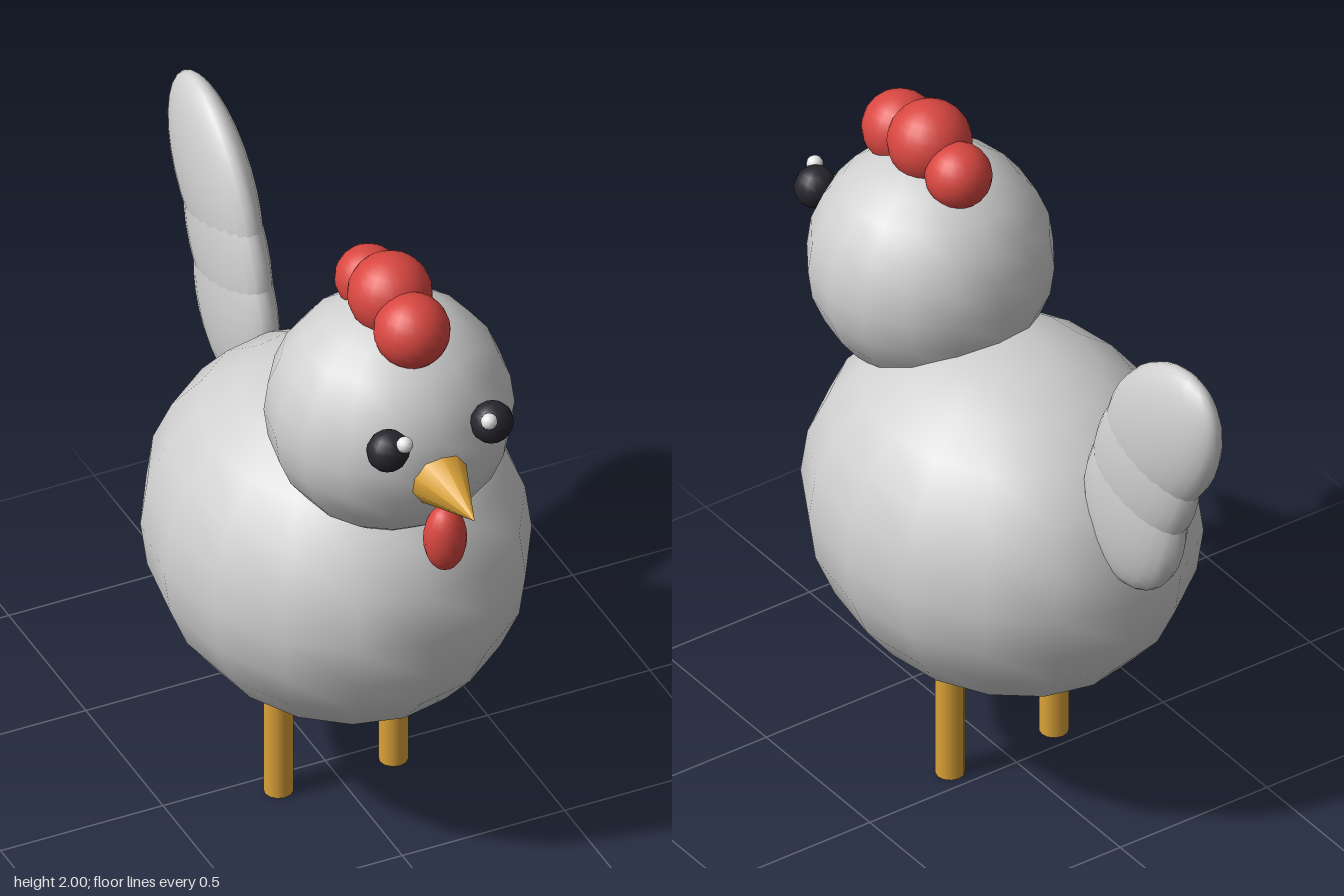
import * as THREE from 'three';

const mat = (name, color) => {
  const m = new THREE.MeshStandardMaterial({ color });
  m.name = name;
  return m;
};

export function createModel() {
  const feathers = mat('pale feathers', 0xd0d0d0);
  const red = mat('red', 0xd94741);
  const yellow = mat('yellow', 0xdca338);
  const black = mat('eye black', 0x26262e);
  const white = mat('glint white', 0xf2f2f2);

  const model = new THREE.Group();
  model.name = 'hen';

  const add = (name, geometry, material, position) => {
    const mesh = new THREE.Mesh(geometry, material);
    mesh.name = name;
    mesh.position.set(...position);
    model.add(mesh);
    return mesh;
  };

  // Ellipsoid with half-sizes radii = [x, y, z]
  const ball = (name, material, position, radii, w = 16, h = 12) => {
    const mesh = add(name, new THREE.SphereGeometry(1, w, h), material, position);
    mesh.scale.set(...radii);
    return mesh;
  };

  // Body and head
  ball('body', feathers, [0, 0.855, 0.07], [0.53, 0.53, 0.625]);
  ball('head', feathers, [0, 1.49, 0.415], [0.35, 0.35, 0.35]);

  // Comb: three overlapping balls, front to back
  [[1.845, 0.563, 0.108], [1.88, 0.42, 0.12], [1.843, 0.28, 0.095]].forEach(([y, z, r], i) =>
    ball(`comb${i + 1}`, red, [0, y, z], [r, r, r], 20, 14));

  // Tail: flat overlapping feathers, leaning further back towards the tip
  [
    [1.21, -0.575, 0.285, 0.215, 18],
    [1.37, -0.63, 0.3, 0.21, 30],
    [1.53, -0.71, 0.32, 0.203, 41],
  ].forEach(([y, z, long, wide, lean], i) => {
    const feather = ball(`tailFeather${i + 1}`, feathers, [0, y, z], [0.083, long, wide], 24, 16);
    feather.rotation.x = -THREE.MathUtils.degToRad(lean);
  });

  // Beak and wattle
  const beak = add('beak', new THREE.ConeGeometry(0.094, 0.25, 10), yellow, [0, 1.455, 0.845]);
  beak.rotation.x = Math.PI / 2;
  ball('wattle', red, [0, 1.275, 0.778], [0.062, 0.105, 0.06]);

  // Eyes and legs, mirrored
  for (const [side, s] of [['left', 1], ['right', -1]]) {
    ball(`${side}Eye`, black, [s * 0.16, 1.6, 0.745], [0.062, 0.062, 0.058], 12, 10);
    ball(`${side}EyeGlint`, white, [s * 0.13, 1.64, 0.79], [0.024, 0.024, 0.024], 12, 8);
    add(`${side}Leg`, new THREE.CylinderGeometry(0.042, 0.042, 0.45, 12), yellow, [s * 0.177, 0.225, 0.07]);
  }

  return model;
}
